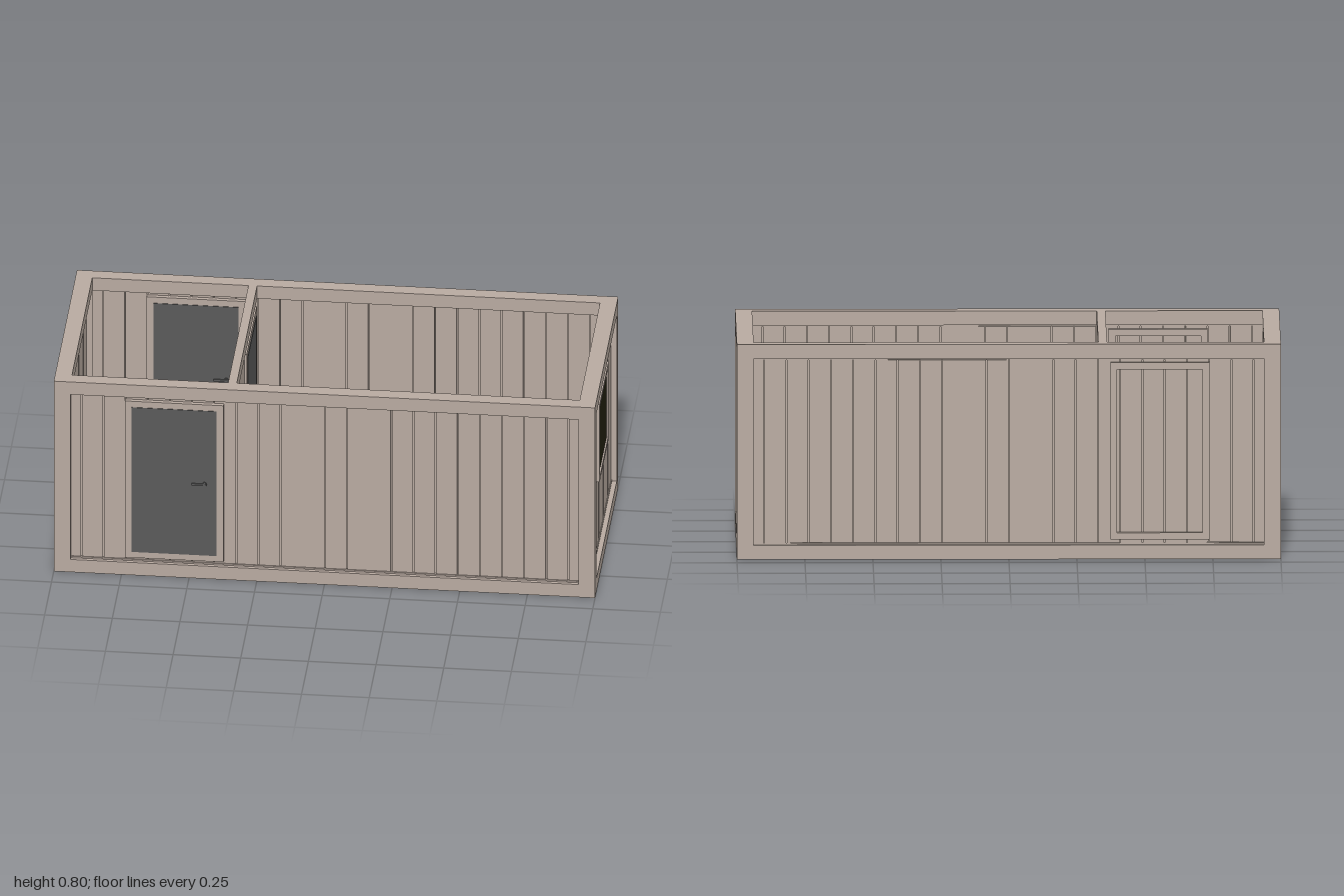
import * as THREE from 'three';

export function createModel() {
  const wallMat = new THREE.MeshStandardMaterial({ color: 0xb8aaa0 });
  wallMat.name = 'wall beige';
  const doorMat = new THREE.MeshStandardMaterial({ color: 0x5a5a5a });
  doorMat.name = 'door grey';
  const glassMat = new THREE.MeshStandardMaterial({ color: 0x22200f });
  glassMat.name = 'dark glass';

  const model = new THREE.Group();
  model.name = 'cabin';

  // Box given by its limits on each axis
  function box(parent, name, mat, x0, x1, y0, y1, z0, z1) {
    const mesh = new THREE.Mesh(new THREE.BoxGeometry(x1 - x0, y1 - y0, z1 - z0), mat);
    mesh.position.set((x0 + x1) / 2, (y0 + y1) / 2, (z0 + z1) / 2);
    mesh.name = name;
    parent.add(mesh);
    return mesh;
  }

  function place(name, x, z, turn = 0) {
    const g = new THREE.Group();
    g.name = name;
    g.position.set(x, 0, z);
    g.rotation.y = turn;
    model.add(g);
    return g;
  }

  // Rectangular ring standing in the xy plane
  function ring(parent, name, mat, x0, x1, y0, y1, w, z0, z1) {
    const s = new THREE.Shape();
    s.moveTo(x0, y0).lineTo(x1, y0).lineTo(x1, y1).lineTo(x0, y1).closePath();
    const h = new THREE.Path();
    h.moveTo(x0 + w, y0 + w).lineTo(x0 + w, y1 - w).lineTo(x1 - w, y1 - w).lineTo(x1 - w, y0 + w).closePath();
    s.holes.push(h);
    const geo = new THREE.ExtrudeGeometry(s, { depth: z1 - z0, bevelEnabled: false });
    geo.translate(0, 0, z0);
    const mesh = new THREE.Mesh(geo, mat);
    mesh.name = name;
    parent.add(mesh);
  }

  // Boarded wall: thin core with boards separated by narrow grooves on both sides
  function boardedWall(parent, half, seams, top = 0.75) {
    const pitch = 0.0818, gap = 0.002, t = 0.01;
    box(parent, 'wallCore', wallMat, -half, half, 0.05, top, -0.004, 0.004);
    const edges = [-half, ...seams.map((i) => i * pitch), half];
    for (let i = 0; i + 1 < edges.length; i++) {
      box(parent, 'wallBoard', wallMat, edges[i] + gap, edges[i + 1] - gap, 0.06, top - 0.01, -t, t);
    }
    // Trim at the foot and head of the boards
    box(parent, 'wallTrimBottom', wallMat, -half, half, 0.045, 0.059, -t - 0.003, t + 0.003);
    box(parent, 'wallTrimTop', wallMat, -half, half, top - 0.009, top + 0.003, -t - 0.003, t + 0.003);
  }

  // Door facing +z: casing through the wall, grey leaf face and lever handle
  function door(parent, cx, depth, side) {
    const g = new THREE.Group();
    g.name = 'door';
    g.position.x = cx;
    parent.add(g);
    ring(g, 'doorFrame', wallMat, -0.182, 0.182, 0.073, 0.731, 0.025, -depth, depth);
    box(g, 'doorLeaf', doorMat, -0.157, 0.157, 0.098, 0.706, depth - 0.006, depth + 0.002);
    const rose = new THREE.Mesh(new THREE.CylinderGeometry(0.009, 0.009, 0.004, 12), doorMat);
    rose.rotation.x = Math.PI / 2;
    rose.position.set(side * 0.112, 0.398, depth + 0.004);
    rose.name = 'handleRose';
    g.add(rose);
    const lever = box(g, 'handleLever', doorMat, -0.027, 0.027, 0.394, 0.402, depth + 0.005, depth + 0.009);
    lever.position.x = side * 0.092;
  }

  // Floor, set slightly above the bottom of the frame
  box(model, 'floor', wallMat, -0.95, 0.95, 0.004, 0.05, -0.385, 0.375);

  // Outer frame: corner posts, long rails and end rails
  const zB = -0.425, zF = 0.418, bx = 0.062, bz = 0.053, rail = 0.053;
  for (const [z0, z1] of [[zB, zB + bz], [zF - bz, zF]]) {
    for (const s of [-1, 1]) {
      const a = s * 1, b = s * (1 - bx);
      box(model, 'cornerPost', wallMat, Math.min(a, b), Math.max(a, b), 0, 0.8, z0, z1);
    }
    box(model, 'longRailBottom', wallMat, -1 + bx, 1 - bx, 0, rail, z0, z1);
    box(model, 'longRailTop', wallMat, -1 + bx, 1 - bx, 0.8 - rail, 0.8, z0, z1);
  }
  for (const [x0, x1] of [[-1, -1 + bx], [1 - bx, 1]]) {
    box(model, 'endRailBottom', wallMat, x0, x1, 0, rail, zB + bz, zF - bz);
    box(model, 'endRailTop', wallMat, x0, x1, 0.8 - rail, 0.8, zB + bz, zF - bz);
  }

  // Long walls, with two wider boards near the middle
  const longSeams = [];
  for (let i = -11; i <= 11; i++) if (i !== -1 && i !== 2) longSeams.push(i);
  const front = place('frontWall', 0, zF - bz / 2);
  boardedWall(front, 0.94, longSeams);
  door(front, -0.555, 0.0255, 1);
  const back = place('backWall', 0, zB + bz / 2);
  boardedWall(back, 0.94, longSeams);
  door(back, -0.555, 0.0255, 1);

  // End walls
  const endSeams = [-4, -3, -2, -1, 0, 1, 2, 3, 4];
  const zMid = (zB + zF) / 2;
  const right = place('windowWall', 1 - bx / 2, zMid, Math.PI / 2);
  boardedWall(right, 0.37, endSeams);
  boardedWall(place('plainEndWall', -1 + bx / 2, zMid, -Math.PI / 2), 0.37, endSeams);

  // Window in the +x end
  ring(right, 'windowFrame', wallMat, -0.164, 0.164, 0.345, 0.672, 0.018, -0.022, 0.022);
  box(right, 'windowGlass', glassMat, -0.146, 0.146, 0.363, 0.654, 0.011, 0.016);
  box(right, 'windowGlassInside', glassMat, -0.146, 0.146, 0.363, 0.654, -0.016, -0.011);

  // Inner partition with its top beam and door
  const part = place('partition', -0.345, zMid, Math.PI / 2);
  boardedWall(part, 0.37, endSeams);
  box(part, 'partitionBeam', wallMat, -0.37, 0.37, 0.8 - rail, 0.8, -0.016, 0.016);
  door(part, 0.155, 0.018, -1);

  return model;
}
